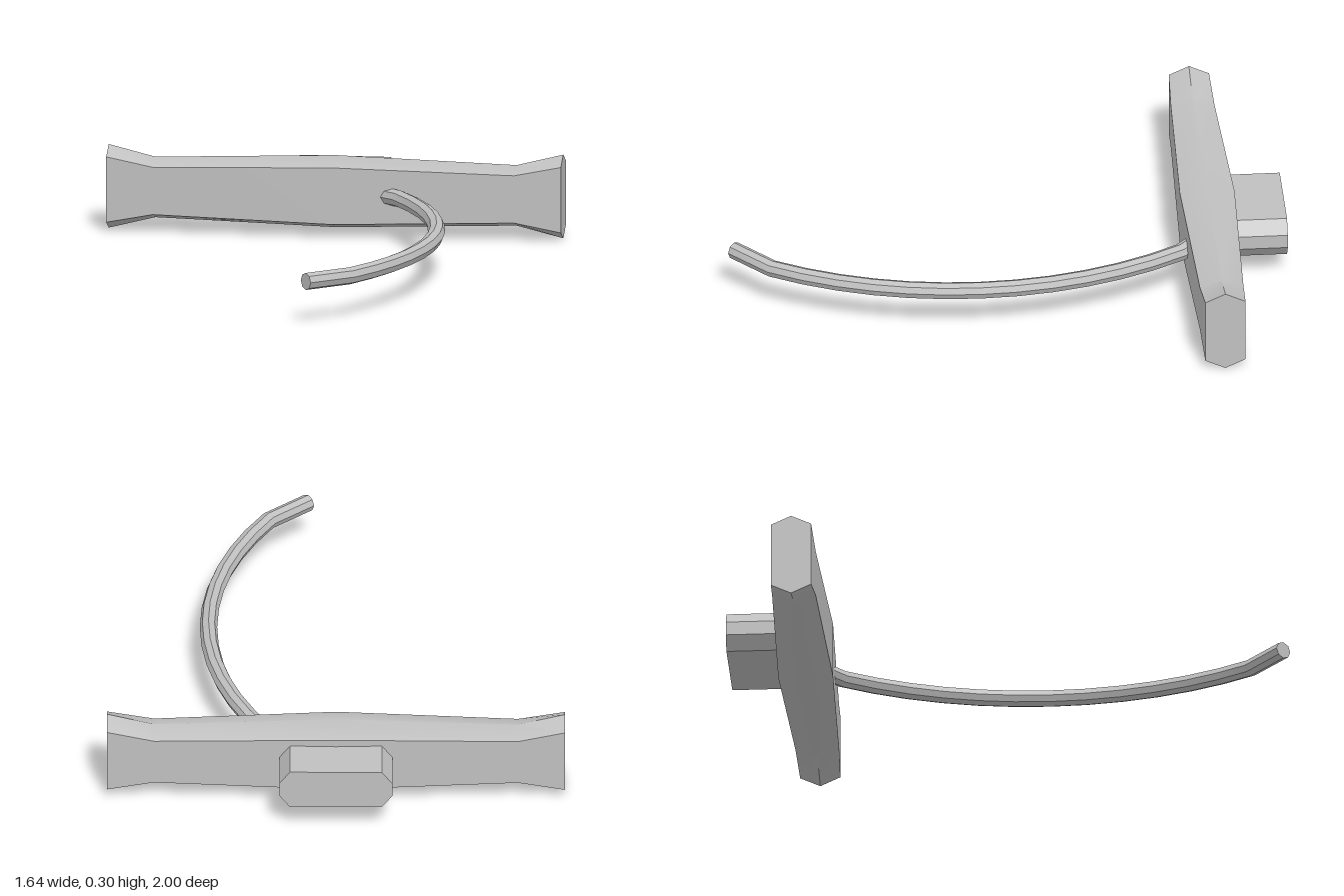
import * as THREE from 'three';
import { toCreasedNormals } from 'three/addons/utils/BufferGeometryUtils.js';

// Closed solid through equal-sized rings, each running counter-clockwise about the path direction.
function loft(rings, crease) {
  const n = rings[0].length;
  const index = [];
  for (let i = 0; i < rings.length - 1; i++) {
    for (let k = 0; k < n; k++) {
      const a = i * n + k, b = i * n + (k + 1) % n;
      index.push(a, b, b + n, a, b + n, a + n);
    }
  }
  const last = (rings.length - 1) * n;
  for (let k = 1; k < n - 1; k++) {
    index.push(0, k + 1, k, last, last + k, last + k + 1);
  }
  const geometry = new THREE.BufferGeometry().setFromPoints(rings.flat());
  geometry.setIndex(index);
  return toCreasedNormals(geometry, crease);
}

export function createModel() {
  const group = new THREE.Group();
  const metal = new THREE.MeshStandardMaterial({ color: 0xc0c0c0 });
  metal.name = 'grey metal';
  const add = (name, geometry) => {
    const mesh = new THREE.Mesh(geometry, metal);
    mesh.name = name;
    group.add(mesh);
    return mesh;
  };
  const midY = 0.157;

  // Flared bar with hexagonal cross-sections: x, ridge height, shoulder height, half depth
  const half = [[0, 0.131, 0.103, 0.098], [0.65, 0.11, 0.086, 0.078], [0.818, 0.152, 0.119, 0.072]];
  const stations = [
    ...half.slice(1).reverse().map(([x, ...rest]) => [-x, ...rest]),
    ...half,
  ];
  const barRings = stations.map(([x, ridge, shoulder, depth]) =>
    [[ridge, 0], [shoulder, depth], [-shoulder, depth], [-ridge, 0], [-shoulder, -depth], [shoulder, -depth]]
      .map(([y, z]) => new THREE.Vector3(x, midY + y, -0.727 + z)));
  add('bar', loft(barRings, 0.6));

  // Bevelled block behind the bar
  const w = 0.202, h = 0.073, bx = 0.038, by = 0.048;
  const outline = new THREE.Shape([
    [w, -h + by], [w, h - by], [w - bx, h], [-w + bx, h],
    [-w, h - by], [-w, -h + by], [-w + bx, -h], [w - bx, -h],
  ].map(([x, y]) => new THREE.Vector2(x, y)));
  const block = add('rearBlock', new THREE.ExtrudeGeometry(outline, { depth: 0.22, bevelEnabled: false }));
  block.position.set(0, 0.16, -1);

  // Curved rod: a long arc with a straight bend at each end
  const path = [new THREE.Vector3(0.102, midY, -0.736)];
  const radius = 1.36, sweep = 0.567, steps = 12;
  for (let i = 0; i <= steps; i++) {
    const a = -sweep + 2 * sweep * i / steps;
    path.push(new THREE.Vector3(-0.903 + radius * Math.cos(a), midY, 0.12 + radius * Math.sin(a)));
  }
  path.push(new THREE.Vector3(0.102, midY, 0.976));
  const up = new THREE.Vector3(0, 1, 0);
  const rodRings = path.map((p, i) => {
    const before = p.clone().sub(path[Math.max(i - 1, 0)]).normalize();
    const after = path[Math.min(i + 1, path.length - 1)].clone().sub(p).normalize();
    const side = before.add(after).normalize().cross(up);
    return Array.from({ length: 8 }, (_, k) => {
      const a = k * Math.PI / 4;
      return p.clone().addScaledVector(up, 0.031 * Math.cos(a)).addScaledVector(side, 0.031 * Math.sin(a));
    });
  });
  add('curvedRod', loft(rodRings, 0.6));

  return group;
}
